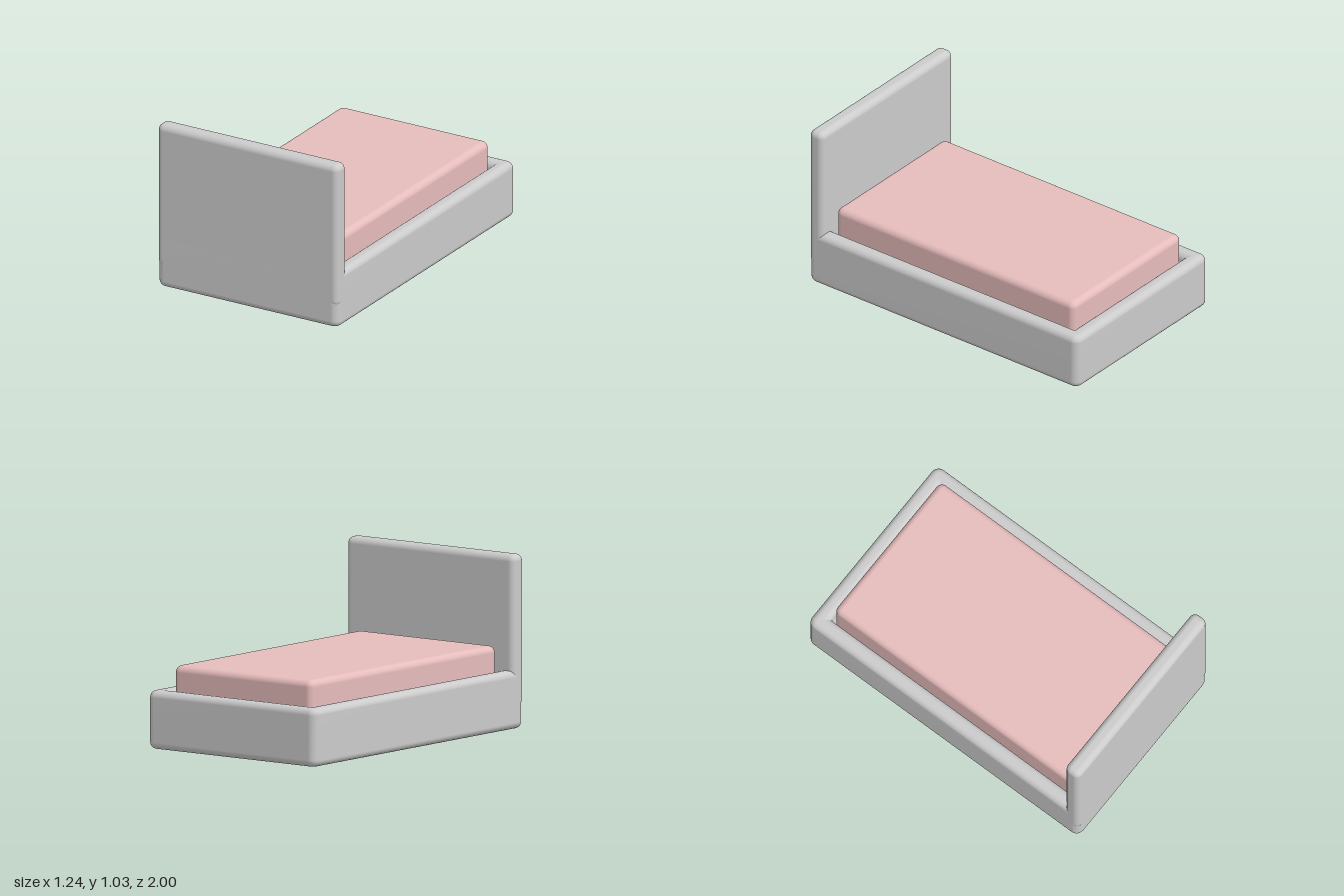
import * as THREE from 'three';
import { RoundedBoxGeometry } from 'three/addons/geometries/RoundedBoxGeometry.js';

const W = 1.24, L = 2, H = 0.345, WALL = 0.1, R = 0.04, FLOOR = 0.15;

// Horizontal rounded rectangle, inset from the frame's footprint
function ring(inset, y, steps = 6) {
  const r = Math.max(0.05 - inset, 0.012);
  const hx = W / 2 - inset - r, hz = L / 2 - inset - r;
  const points = [];
  [[1, 1], [-1, 1], [-1, -1], [1, -1]].forEach(([sx, sz], corner) => {
    for (let i = 0; i <= steps; i++) {
      const a = (corner + i / steps) * Math.PI / 2;
      points.push([sx * hx + r * Math.cos(a), y, sz * hz + r * Math.sin(a)]);
    }
  });
  return points;
}

// Quarter-round run of [inset, y] profile points
function arc(cx, cy, from, to, steps = 6) {
  return Array.from({ length: steps + 1 }, (_, i) => {
    const a = THREE.MathUtils.lerp(from, to, i / steps);
    return [cx + R * Math.cos(a), cy + R * Math.sin(a)];
  });
}

// Tray: wall profile swept round the footprint, closed by underside and floor
function trayGeometry() {
  const P = Math.PI;
  const profile = [
    ...arc(R, R, 1.5 * P, P),
    ...arc(R, H - R, P, P / 2),
    ...arc(WALL - R, H - R, P / 2, 0),
    [WALL, FLOOR],
  ];
  const rings = profile.map(([inset, y]) => ring(inset, y));
  const n = rings[0].length, index = [];
  for (let j = 0; j < rings.length - 1; j++) {
    for (let i = 0; i < n; i++) {
      const a = j * n + i, b = j * n + (i + 1) % n;
      index.push(a, a + n, b, b, a + n, b + n);
    }
  }
  const positions = rings.flat();
  const bottom = positions.length, floor = bottom + 1, last = (rings.length - 1) * n;
  positions.push([0, 0, 0], [0, FLOOR, 0]);
  for (let i = 0; i < n; i++) {
    const k = (i + 1) % n;
    index.push(bottom, i, k, floor, last + k, last + i);
  }
  const geometry = new THREE.BufferGeometry();
  geometry.setAttribute('position', new THREE.Float32BufferAttribute(positions.flat(), 3));
  geometry.setIndex(index);
  geometry.computeVertexNormals();
  return geometry;
}

export function createModel() {
  const bed = new THREE.Group();
  bed.name = 'bed';
  const grey = new THREE.MeshStandardMaterial({ color: 0xcccccc });
  const pink = new THREE.MeshStandardMaterial({ color: 0xe6bcbc });

  const add = (name, geometry, material, y = 0, z = 0) => {
    const mesh = new THREE.Mesh(geometry, material);
    mesh.name = name;
    mesh.position.set(0, y, z);
    bed.add(mesh);
  };

  // Padded frame with a recess for the mattress
  add('frame', trayGeometry(), grey);

  // Headboard, sunk into the front end of the frame
  add('headboard', new RoundedBoxGeometry(W, 0.9, 0.105, 6, 0.04), grey, 0.58, 0.9475);

  // Mattress resting on the recess floor
  add('mattress', new RoundedBoxGeometry(1.02, 0.34, 1.77, 6, 0.04), pink, 0.32, -0.003);

  return bed;
}
